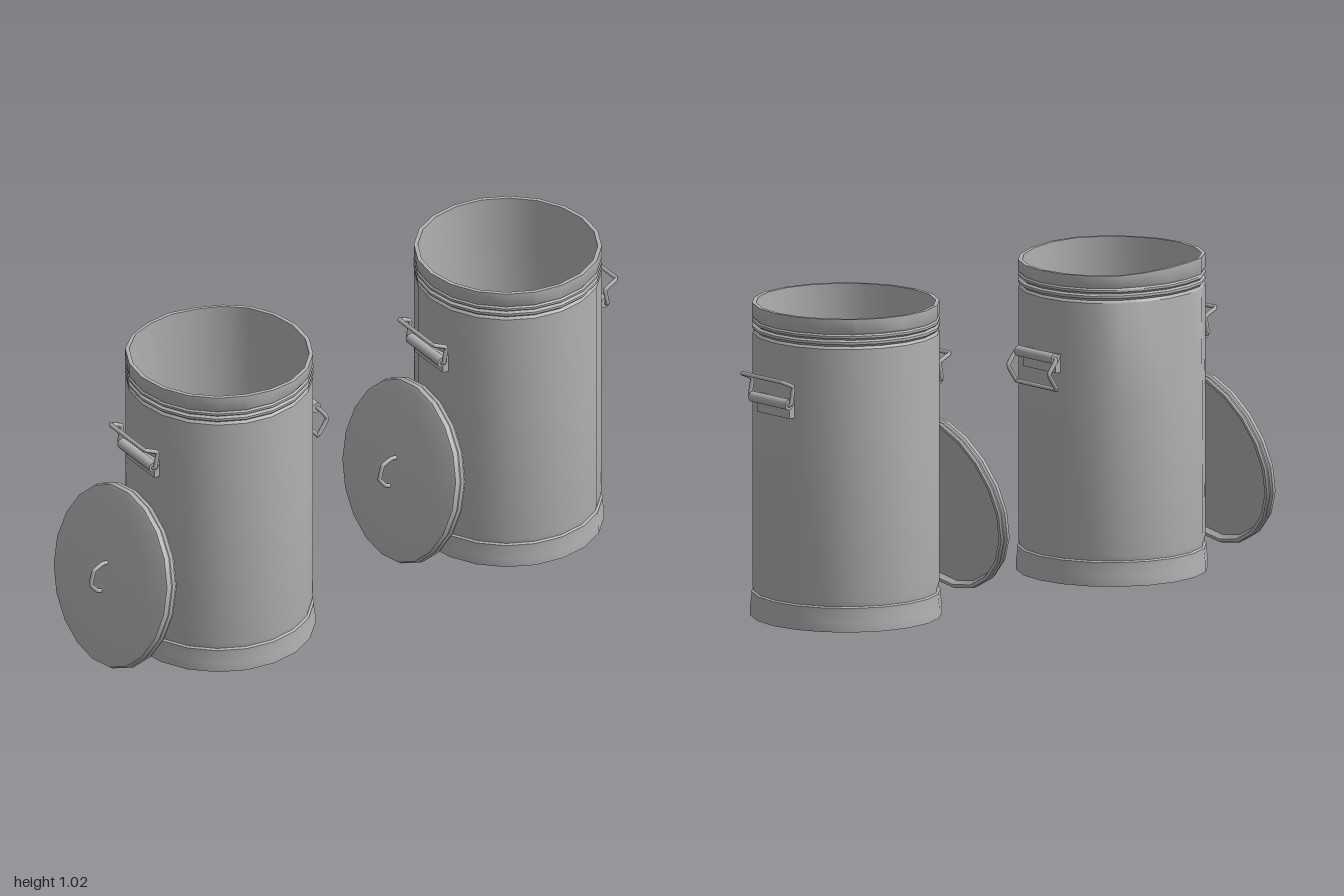
import * as THREE from 'three';
import { toCreasedNormals } from 'three/addons/utils/BufferGeometryUtils.js';

const SIDES = 20;
const metal = new THREE.MeshStandardMaterial({ color: 0xb2b2b2 });
metal.name = 'galvanised grey';

function mesh(name, geometry, parent) {
  const m = new THREE.Mesh(geometry, metal);
  m.name = name;
  parent.add(m);
  return m;
}

// Turned shell with soft sides and sharp edges; bend moves its vertices
function turned(profile, bend) {
  const g = new THREE.LatheGeometry(profile.map(([r, y]) => new THREE.Vector2(r, y)), SIDES);
  if (bend) {
    const p = g.attributes.position;
    const v = new THREE.Vector3();
    for (let i = 0; i < p.count; i++) {
      bend(v.fromBufferAttribute(p, i));
      p.setXYZ(i, v.x, v.y, v.z);
    }
  }
  return toCreasedNormals(g, 0.6);
}

function rod(points, radius) {
  const curve = new THREE.CatmullRomCurve3(
    points.map((p) => new THREE.Vector3(...p)), false, 'catmullrom', 0.15);
  return new THREE.TubeGeometry(curve, 48, radius, 8);
}

// Outside from the floor up to the lip, then back down the inside
const canProfile = [
  [0, 0], [0.308, 0], [0.308, 0.03], [0.303, 0.068], [0.304, 0.078], [0.297, 0.082],
  [0.3, 0.1], [0.3, 0.6], [0.3, 0.922], [0.293, 0.93], [0.302, 0.938], [0.302, 0.946],
  [0.293, 0.951], [0.302, 0.958], [0.302, 0.965], [0.297, 0.97], [0.301, 0.976],
  [0.301, 1.02], [0.288, 1.02], [0.288, 0.6], [0.288, 0.02], [0, 0.02],
];

const lidProfile = [
  [0, 0.022], [0.278, 0.018], [0.286, 0], [0.297, 0], [0.301, 0.008], [0.296, 0.016],
  [0.301, 0.024], [0.296, 0.038], [0.282, 0.043], [0.2, 0.055], [0.1, 0.063], [0, 0.066],
];

// Pushed-in back and sagging lip of the worn can
function dentCan(v) {
  const high = THREE.MathUtils.smoothstep(v.y, 0.3, 1);
  const back = THREE.MathUtils.smoothstep(-v.z, 0.2, 0.29);
  v.z += 0.022 * high * back;
  if (v.y > 1) v.y -= 0.013 * THREE.MathUtils.smoothstep(v.x, -0.1, 0.2) - 0.004;
}

// Slightly wavy rim on the lids
function warpLid(v) {
  const r = Math.hypot(v.x, v.z);
  if (r > 0.27) v.y += 0.003 * Math.sin(3 * Math.atan2(v.z, v.x) + 1);
}

// Side handle on the +x side: mounting plate, hinge barrel and bent loop
function sideHandle(name, hanging) {
  const g = new THREE.Group();
  g.name = name;
  mesh('mountingPlate', new THREE.BoxGeometry(0.025, 0.06, 0.16), g).position.set(0.295, 0.718, 0);
  const barrel = mesh('hingeBarrel', new THREE.CylinderGeometry(0.018, 0.018, 0.18, 10), g);
  barrel.rotation.x = Math.PI / 2;
  barrel.position.set(0.317, 0.737, 0);
  const arm = hanging
    ? [[0.32, 0.737], [0.352, 0.692], [0.318, 0.638]]
    : [[0.32, 0.737], [0.31, 0.795], [0.358, 0.818]];
  const [a, b, c] = arm;
  const path = [
    [...a, 0.085], [...a, 0.1], [...b, 0.1], [...c, 0.098], [...c, 0.088],
    [...c, -0.088], [...c, -0.098], [...b, -0.1], [...a, -0.1], [...a, -0.085],
  ];
  mesh('handleLoop', rod(path, 0.007), g);
  return g;
}

// Domed lid with a wire grip, leaning against the can
function leaningLid() {
  const g = new THREE.Group();
  g.name = 'lid';
  mesh('lidShell', turned(lidProfile, warpLid), g);
  mesh('lidGrip', rod([
    [-0.05, 0.055, 0], [-0.048, 0.08, 0], [-0.025, 0.11, 0],
    [0.025, 0.11, 0], [0.048, 0.08, 0], [0.05, 0.055, 0],
  ], 0.007), g);
  g.position.set(-0.387, 0.312, 0);
  g.rotation.z = THREE.MathUtils.degToRad(76);
  return g;
}

function trashCan(name, x, worn) {
  const g = new THREE.Group();
  g.name = name;
  mesh('canBody', turned(canProfile, worn ? dentCan : null), g);
  g.add(sideHandle('leftHandle', worn));
  const right = sideHandle('rightHandle', false);
  right.rotation.y = Math.PI;
  g.add(right, leaningLid());
  g.position.x = x;
  return g;
}

export function createModel() {
  const model = new THREE.Group();
  model.name = 'trashCans';
  model.add(trashCan('wornCan', -0.49, true), trashCan('cleanCan', 0.635, false));
  return model;
}
